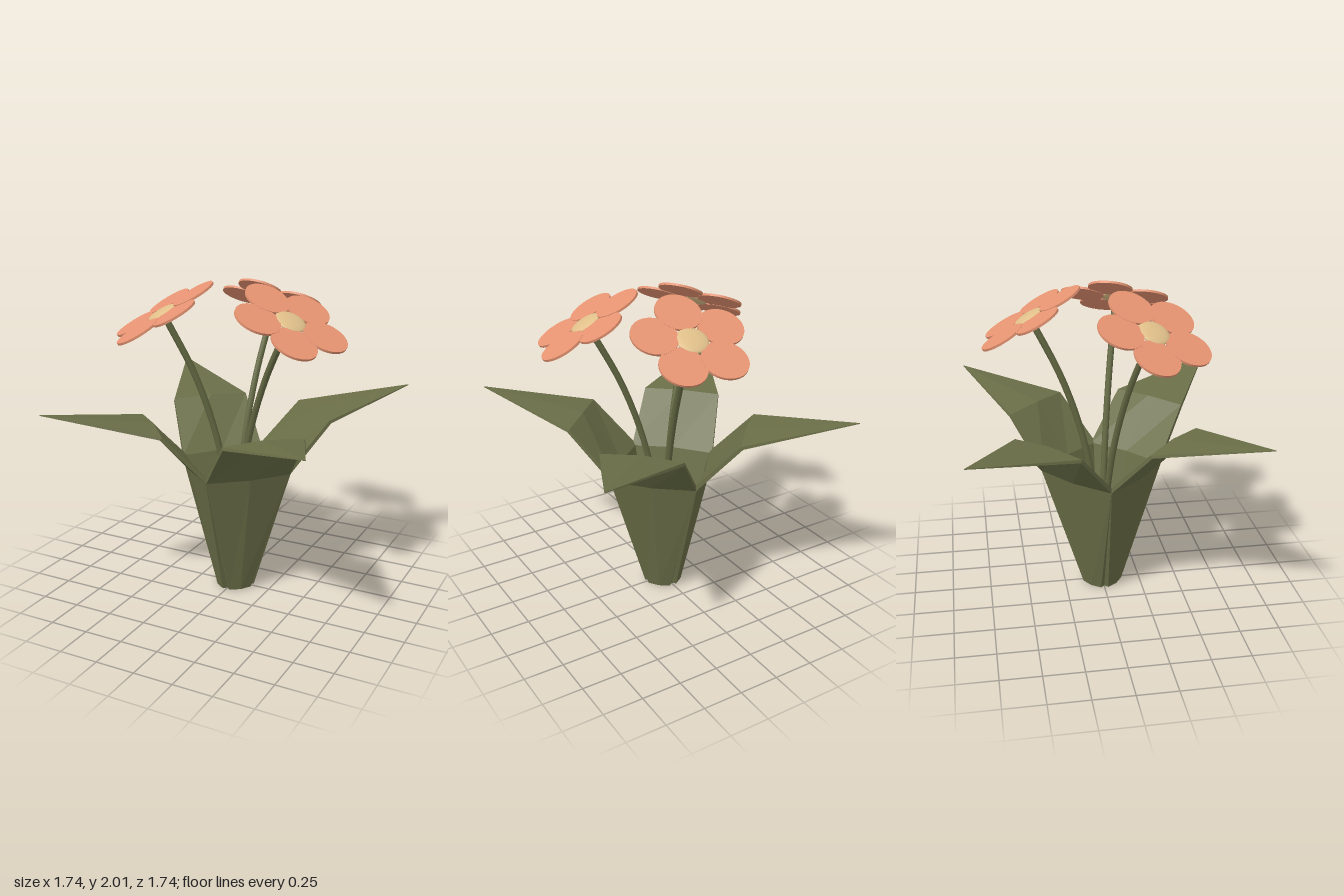
import * as THREE from 'three';

const mat = (color, flatShading = false) => new THREE.MeshStandardMaterial({ color, flatShading });
const leafMat = mat(0x6a6e47, true);
const stemMat = mat(0x646943);
const petalMat = mat(0xe69472);
const discMat = mat(0xe0c08a);

const TILT = 0.515;

function mesh(name, geometry, material) {
  const m = new THREE.Mesh(geometry, material);
  m.name = name;
  return m;
}

// Leaf along +x: six-point rings (outer left/mid/right, inner right/mid/left) joined in a loop
function leafGeometry() {
  // edge radius, edge height, half width, mid radius, mid height, inward dx, inward dy, sideways shift
  const sections = [
    [0.108, 0, 0.074, 0.122, 0, -0.04, 0, 0],
    [0.276, 0.83, 0.274, 0.305, 0.83, -0.025, 0.012, 0],
    [0.55, 1.13, 0.255, 0.54, 1.143, -0.012, 0.018, 0],
    [1.21, 1.266, 0.002, 1.212, 1.266, -0.002, 0.004, 0.018],
  ];
  const pos = [];
  const index = [];
  for (const [r, y, w, mr, my, dx, dy, s] of sections) {
    pos.push(r, y, s - w, mr, my, s, r, y, s + w);
    pos.push(r + dx, y + dy, s + w, mr + dx, my + dy, s, r + dx, y + dy, s - w);
  }
  for (let i = 0; i < sections.length - 1; i++) {
    for (let j = 0; j < 6; j++) {
      const a = i * 6 + j, b = i * 6 + (j + 1) % 6;
      index.push(b, a, a + 6, b, a + 6, b + 6);
    }
  }
  // bottom cap and tip cap
  const t = (sections.length - 1) * 6;
  for (const [a, b, c, d] of [[0, 1, 4, 5], [1, 2, 3, 4]]) {
    index.push(a, b, c, a, c, d);
    index.push(t + a, t + c, t + b, t + a, t + d, t + c);
  }
  const g = new THREE.BufferGeometry();
  g.setAttribute('position', new THREE.Float32BufferAttribute(pos, 3));
  g.setIndex(index);
  g.computeVertexNormals();
  return g;
}

// Five round petals around a flattened centre, facing +y
function createBlossom() {
  const blossom = new THREE.Group();
  blossom.name = 'blossom';
  const petalGeo = new THREE.CylinderGeometry(0.14, 0.14, 0.014, 32);
  for (let k = 0; k < 5; k++) {
    const a = Math.PI / 5 + k * Math.PI * 2 / 5;
    const petal = mesh('petal', petalGeo, petalMat);
    petal.position.set(Math.cos(a) * 0.218, (k % 3 - 1) * 0.002, Math.sin(a) * 0.218);
    blossom.add(petal);
  }
  const disc = mesh('flowerCentre', new THREE.SphereGeometry(0.097, 28, 14), discMat);
  disc.scale.y = 0.2;
  blossom.add(disc);
  return blossom;
}

// Flower on a curved stem leaning towards an angle in the ground plane
function createFlower(x, z, facing) {
  const flower = new THREE.Group();
  flower.name = 'flower';
  const profile = [[0.02, 0], [0.07, 0.5], [0.25, 1.0], [0.55, 1.42], [0.98, 1.815]];
  const curve = new THREE.CatmullRomCurve3(
    profile.map(([f, y]) => new THREE.Vector3(x * f, y, z * f)));
  flower.add(mesh('stem', new THREE.TubeGeometry(curve, 20, 0.021, 8), stemMat));
  const blossom = createBlossom();
  blossom.position.set(x, 1.825, z);
  blossom.rotation.set(0, -facing, -TILT, 'YXZ');
  flower.add(blossom);
  return flower;
}

export function createModel() {
  const plant = new THREE.Group();
  plant.name = 'floweringPlant';

  // four folded leaves on the diagonals
  const leafGeo = leafGeometry();
  for (let k = 0; k < 4; k++) {
    const leaf = mesh('leaf', leafGeo, leafMat);
    leaf.rotation.y = -(Math.PI / 4 + k * Math.PI / 2);
    plant.add(leaf);
  }

  // three flowers
  const deg = Math.PI / 180;
  for (const [x, z, facing] of [[0.075, -0.435, -83], [0.44, 0.16, 20], [-0.37, 0.245, 146]]) {
    plant.add(createFlower(x, z, facing * deg));
  }
  return plant;
}
